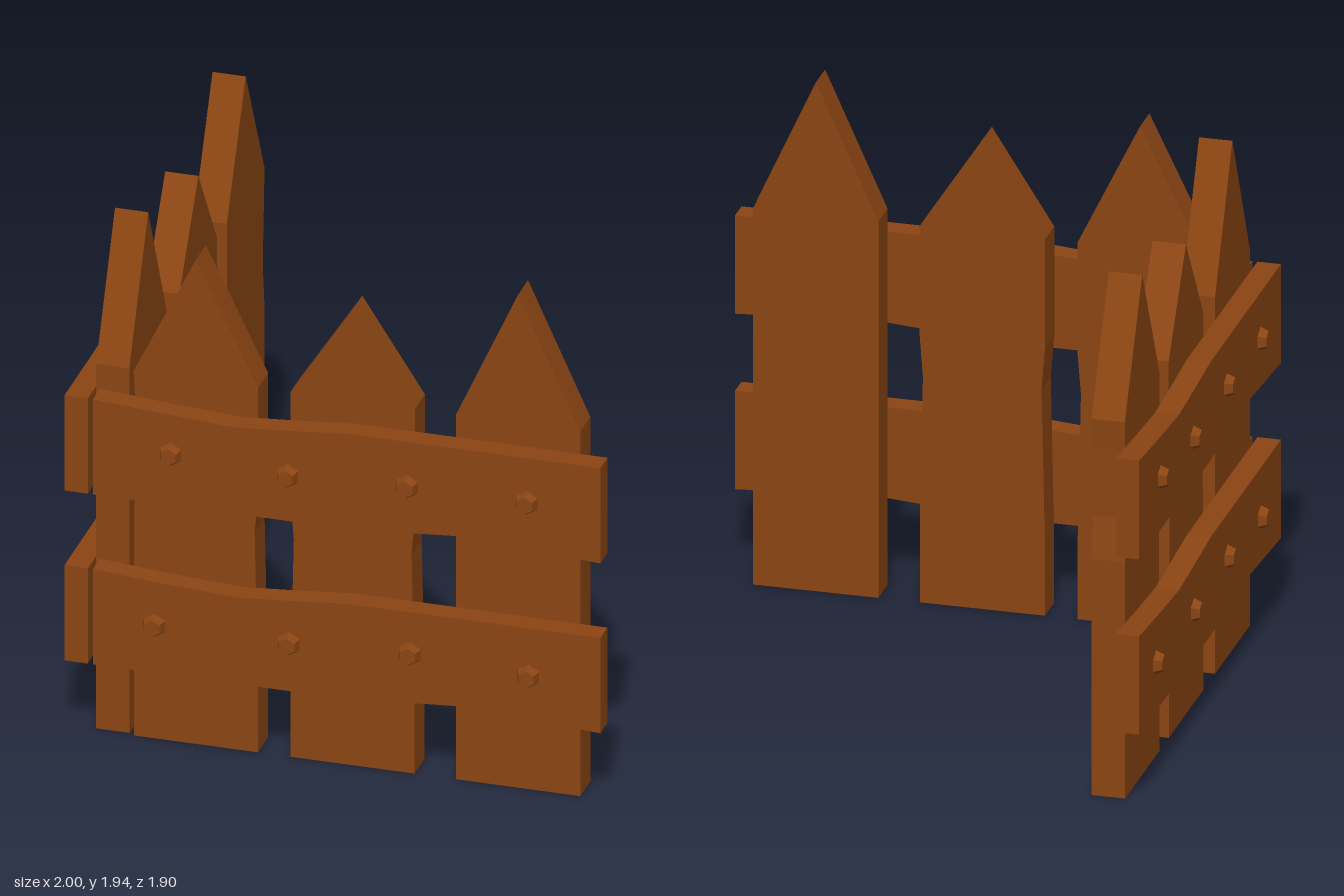
import * as THREE from 'three';

const wood = new THREE.MeshStandardMaterial({ color: 0x8b4513 });
wood.name = 'brownWood';

// Extrude an outline of [x, y] points from z0 to z1
function board(name, points, z0, z1) {
  const shape = new THREE.Shape(points.map(([x, y]) => new THREE.Vector2(x, y)));
  const geo = new THREE.ExtrudeGeometry(shape, { depth: z1 - z0, bevelEnabled: false });
  geo.translate(0, 0, z0);
  const mesh = new THREE.Mesh(geo, wood);
  mesh.name = name;
  return mesh;
}

// Pickets: counter-clockwise outlines with slightly worn edges
const pickets = [
  [[-0.74, 0], [-0.285, 0], [-0.285, 0.3], [-0.297, 0.86], [-0.284, 1.02], [-0.284, 1.435],
    [-0.513, 1.905], [-0.742, 1.435], [-0.735, 1.32], [-0.72, 1.06], [-0.74, 0.9]],
  [[-0.165, 0], [0.29, 0], [0.29, 0.4], [0.28, 0.86], [0.292, 1.02], [0.292, 1.435],
    [0.062, 1.79], [-0.166, 1.435], [-0.166, 1.02], [-0.153, 0.86], [-0.165, 0.3]],
  [[0.443, 0], [0.9, 0], [0.9, 1.435], [0.671, 1.94], [0.443, 1.435]],
];

// Rail outline, measured from its lower edge
const rail = [[-0.865, 0], [0.08, 0], [0.25, 0.014], [0.48, 0.031], [1, 0], [1, 0.375],
  [0.08, 0.375], [-0.17, 0.353], [-0.34, 0.34], [-0.6, 0.355], [-0.865, 0.375]];

const bolts = [[-0.58, 1.172], [-0.15, 1.15], [0.29, 1.172], [0.73, 1.172],
  [-0.64, 0.49], [-0.145, 0.49], [0.3, 0.515], [0.735, 0.49]];

// One fence panel facing +z
function fencePanel(name) {
  const panel = new THREE.Group();
  panel.name = name;
  pickets.forEach((p, i) => panel.add(board(`picket${i + 1}`, p, 0.71, 0.832)));

  [['lowerRail', 0.303], ['upperRail', 0.972]].forEach(([railName, y]) =>
    panel.add(board(railName, rail.map(([x, h]) => [x, h + y]), 0.832, 0.918)));

  // Tapered hexagonal bolt heads
  const head = new THREE.CylinderGeometry(0.032, 0.045, 0.03, 6).toNonIndexed();
  head.computeVertexNormals();
  head.rotateX(Math.PI / 2);
  bolts.forEach(([x, y], i) => {
    const bolt = new THREE.Mesh(head, wood);
    bolt.name = `bolt${i + 1}`;
    bolt.position.set(x, y, 0.933);
    panel.add(bolt);
  });
  return panel;
}

export function createModel() {
  const model = new THREE.Group();
  model.name = 'cornerFence';
  model.add(fencePanel('frontPanel'));

  // The same panel turned to face -x forms the other side of the corner
  const side = fencePanel('sidePanel');
  side.rotation.y = -Math.PI / 2;
  side.position.set(-0.052, 0, -0.083);
  model.add(side);
  return model;
}
